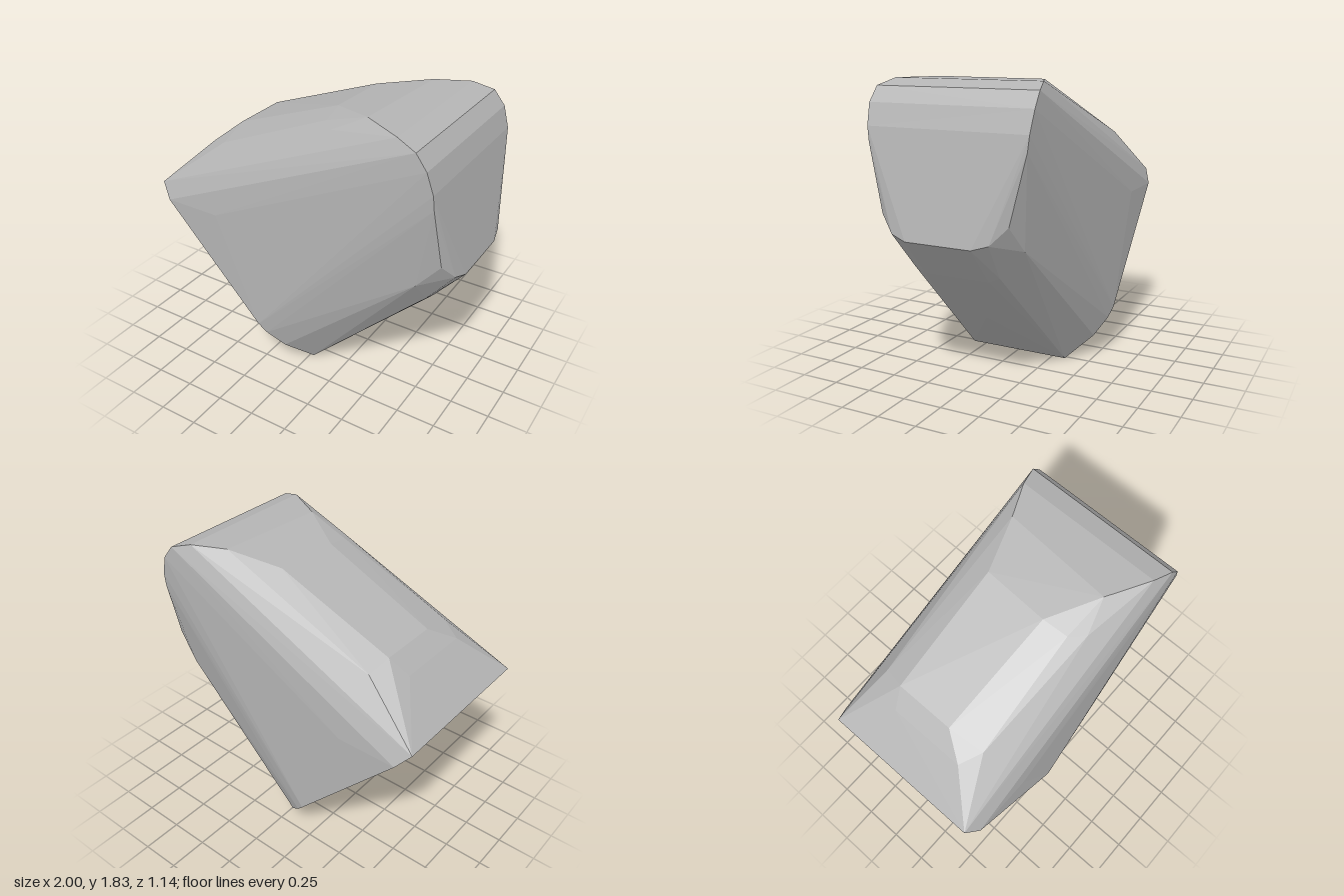
import * as THREE from 'three';
import { ConvexGeometry } from 'three/addons/geometries/ConvexGeometry.js';

export function createModel() {
  const group = new THREE.Group();
  const stone = new THREE.MeshStandardMaterial({ color: 0xb4b4b4 });
  stone.name = 'stone grey';
  stone.flatShading = true;

  const points = [];
  const add = (x, y, z) => points.push(new THREE.Vector3(x, y, z));
  const pair = (x, y, z) => { add(x, y, z); add(x, y, -z); };

  // Flat slanted base, with rounded lower corners
  [[-1, 1.13, 0.52], [-0.92, 1.04, 0.568], [-0.25, 0.31, 0.568],
    [-0.2, 0.25, 0.55], [-0.1, 0.147, 0.49], [0.025, 0.005, 0.34]].forEach((p) => pair(...p));

  // Bulge on the broad sides
  pair(-0.54, 1.04, 0.57);

  // Upright end face and its rounded rim
  [[0.66, 1.83, 0.475], [0.79, 1.79, 0.515], [0.86, 1.7, 0.52], [0.9, 1.57, 0.51],
    [0.905, 1.48, 0.5], [0.93, 1.08, 0.405], [0.98, 0.98, 0.31], [1, 0.95, 0.21]].forEach((p) => pair(...p));

  // Underside
  pair(0.8, 0.72, 0.21);
  pair(0.8, 0.75, 0.28);
  pair(0.79, 0.92, 0.43);
  add(0.46, 0.37, 0);

  // Uneven crown
  [[-0.65, 1.48, -0.27], [-0.65, 1.48, 0.11], [-0.62, 1.43, 0.34], [-0.62, 1.35, 0.44],
    [-0.62, 1.43, -0.41], [-0.76, 1.38, 0.27], [-0.76, 1.38, -0.22],
    [0.12, 1.77, -0.27], [0.1, 1.77, 0.15], [0.12, 1.74, 0.31], [0.2, 1.73, 0.39],
    [0.4, 1.83, 0.33], [0.45, 1.83, -0.38]].forEach((p) => add(...p));

  const block = new THREE.Mesh(new ConvexGeometry(points), stone);
  block.name = 'facetedBlock';
  group.add(block);
  return group;
}
